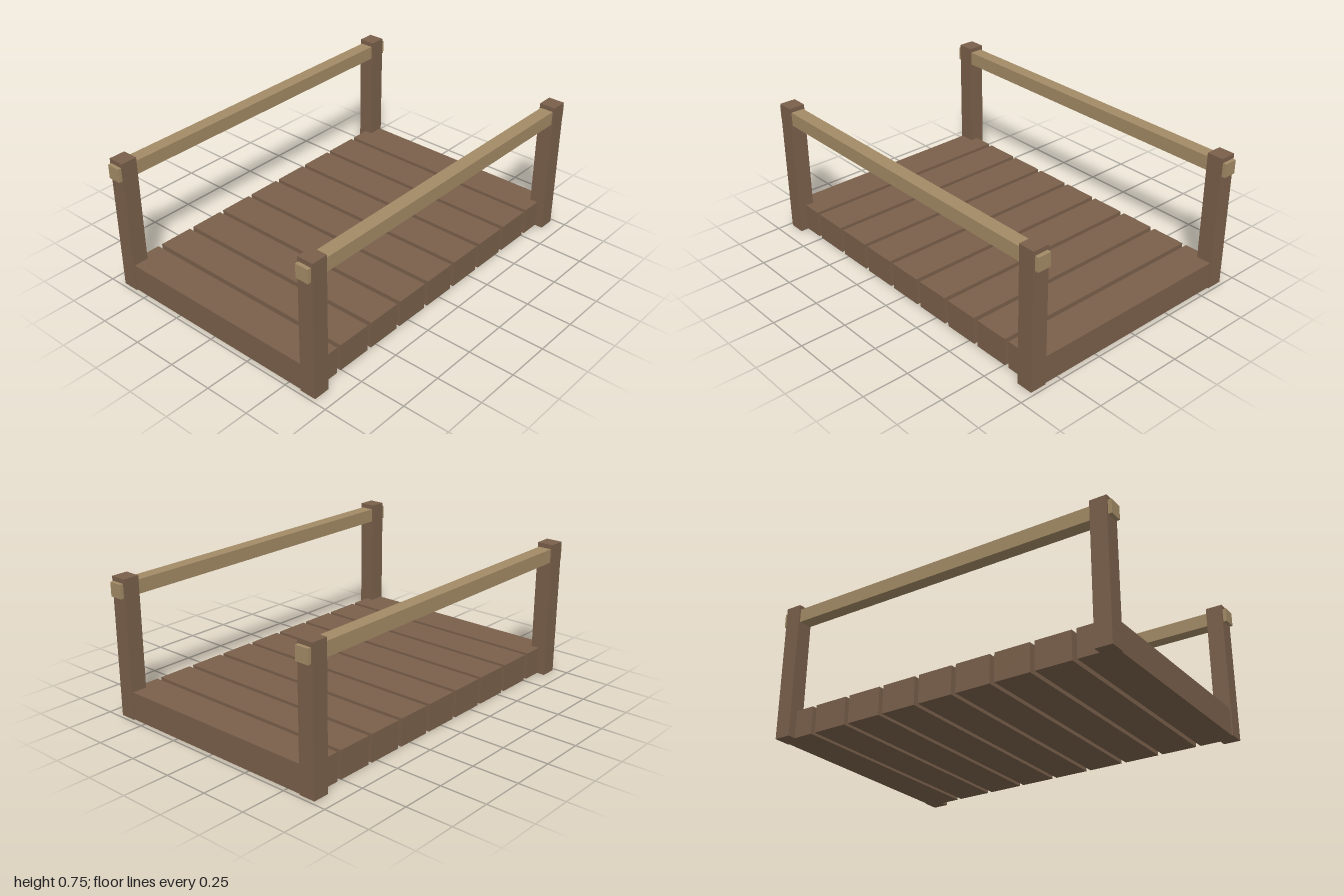
import * as THREE from 'three';

export function createModel() {
  const group = new THREE.Group();
  const darkWood = new THREE.MeshStandardMaterial({ color: 0x7a604b });
  darkWood.name = 'dark wood';
  const lightWood = new THREE.MeshStandardMaterial({ color: 0xa38b66 });
  lightWood.name = 'light wood';

  // Box beam resting with its underside at height y
  function beam(name, material, [w, h, d], [x, y, z]) {
    const mesh = new THREE.Mesh(new THREE.BoxGeometry(w, h, d), material);
    mesh.name = name;
    mesh.position.set(x, y + h / 2, z);
    group.add(mesh);
  }

  // Deck of nine planks with narrow gaps
  for (let i = -4; i <= 4; i++) {
    beam('plank', darkWood, [1.25, 0.15, 0.194], [0, 0, i * 0.219]);
  }

  // Corner posts and the handrails that run through them
  for (const side of [-1, 1]) {
    for (const end of [-1, 1]) {
      beam('post', darkWood, [0.09, 0.75, 0.09], [side * 0.625, 0, end * 0.935]);
    }
    beam('handrail', lightWood, [0.073, 0.075, 2], [side * 0.624, 0.651, 0]);
  }

  return group;
}
